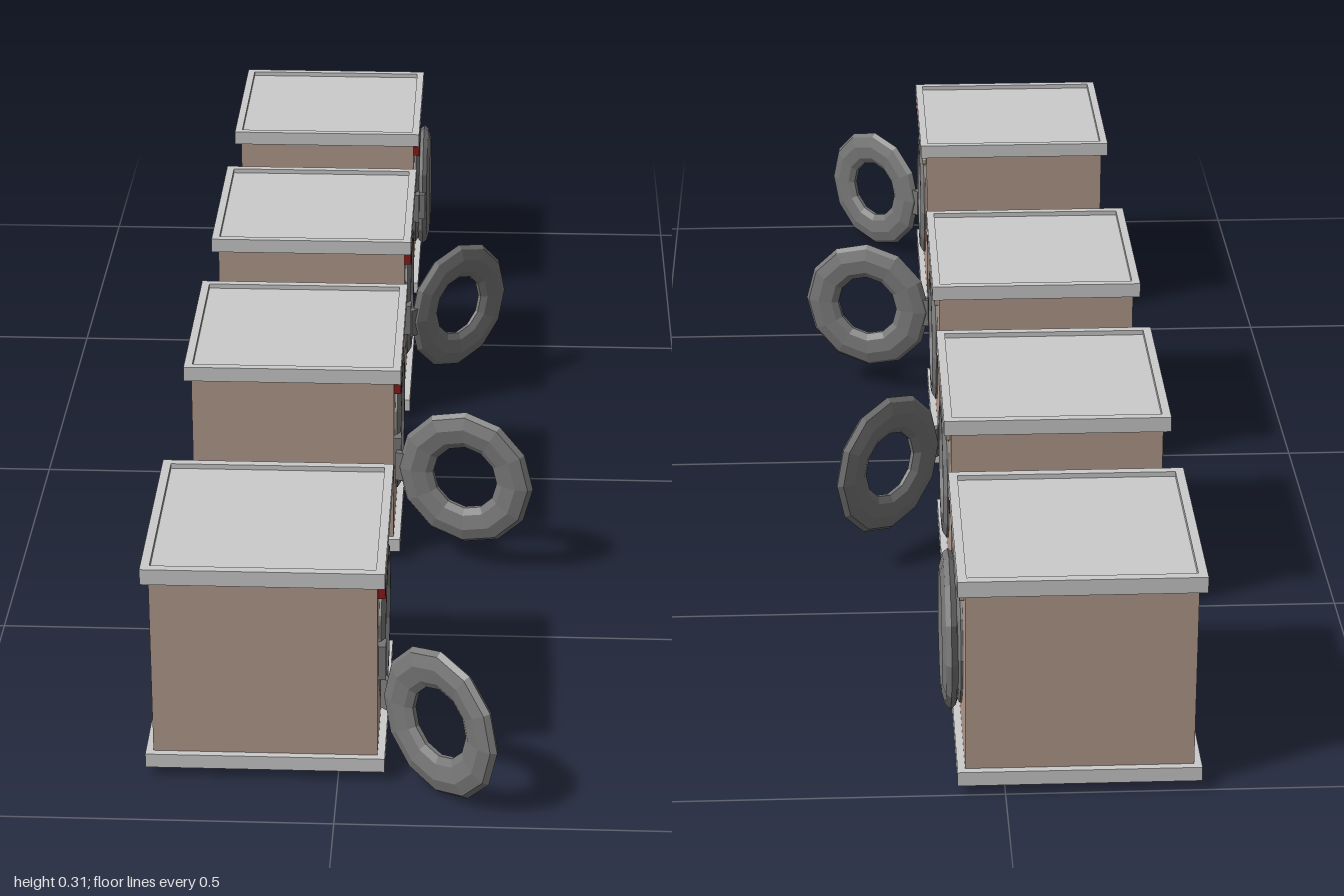
import * as THREE from 'three';

const material = (color, side = THREE.FrontSide) =>
  new THREE.MeshStandardMaterial({ color, side, flatShading: true });
const trimMat = material(0xcccccc);
const bodyMat = material(0xb29a8c);
const darkMat = material(0x777777);
const drumMat = material(0x6e6250, THREE.DoubleSide);
const redMat = material(0x8b1a1a);
const creamMat = material(0xd2c4a8);

const RING_Y = 0.165, RING_Z = 0.008; // opening centre relative to a cabinet

function add(parent, name, geometry, mat, x = 0, y = 0, z = 0) {
  const mesh = new THREE.Mesh(geometry, mat);
  mesh.name = name;
  mesh.position.set(x, y, z);
  parent.add(mesh);
  return mesh;
}

// Twelve-sided turned part with its axis along x; points are [radius, depth]
function turned(points) {
  const g = new THREE.LatheGeometry(points.map(([r, d]) => new THREE.Vector2(r, d)), 12);
  return g.rotateZ(-Math.PI / 2);
}

function rectangle(w, h) {
  return new THREE.Shape([[-w, -h], [w, -h], [w, h], [-w, h]]
    .map(([x, y]) => new THREE.Vector2(x / 2, y / 2)));
}

function createCabinet() {
  const cabinet = new THREE.Group();
  cabinet.name = 'cabinet';

  // Front half of the body with a round opening, and a solid back half
  const front = rectangle(0.297, 0.256);
  const hole = [];
  for (let i = 0; i < 12; i++) {
    const a = -i * Math.PI / 6;
    hole.push(new THREE.Vector2(-RING_Z + 0.087 * Math.cos(a), RING_Y - 0.163 + 0.087 * Math.sin(a)));
  }
  front.holes.push(new THREE.Path(hole));
  const frontGeo = new THREE.ExtrudeGeometry(front, { depth: 0.202, bevelEnabled: false });
  add(cabinet, 'bodyFront', frontGeo.rotateY(Math.PI / 2), bodyMat, -0.15, 0.163, 0);
  add(cabinet, 'bodyBack', new THREE.BoxGeometry(0.095, 0.256, 0.297), bodyMat, -0.1975, 0.163, 0);

  // Base, top panel and raised rim round the top
  add(cabinet, 'base', new THREE.BoxGeometry(0.317, 0.02, 0.317), trimMat, -0.0965, 0.025, 0);
  add(cabinet, 'topPanel', new THREE.BoxGeometry(0.317, 0.015, 0.317), trimMat, -0.0965, 0.2975, 0);
  const rim = rectangle(0.317, 0.317);
  rim.holes.push(rectangle(0.293, 0.293));
  const rimGeo = new THREE.ExtrudeGeometry(rim, { depth: 0.007, bevelEnabled: false });
  add(cabinet, 'topRim', rimGeo.rotateX(-Math.PI / 2), trimMat, -0.0965, 0.305, 0);

  // Drum and the collar round its mouth
  add(cabinet, 'drum', turned([[0, -0.19], [0.084, -0.19], [0.084, 0]]), drumMat, 0.052, RING_Y, RING_Z);
  add(cabinet, 'collar', turned([[0.082, -0.01], [0.106, -0.004], [0.106, 0.002],
    [0.096, 0.008], [0.086, 0.008], [0.08, 0.001], [0.082, -0.01]]), darkMat, 0.053, RING_Y, RING_Z);

  // Hinge and controls
  add(cabinet, 'hinge', new THREE.BoxGeometry(0.012, 0.05, 0.022), darkMat, 0.056, 0.16, 0.112);
  add(cabinet, 'powerButton', new THREE.BoxGeometry(0.012, 0.016, 0.016), redMat, 0.056, 0.275, 0.134);
  const knob = turned([[0.0125, -0.004], [0.0125, 0.004], [0, 0.004]]);
  add(cabinet, 'dial', knob, creamMat, 0.054, 0.275, -0.113);
  add(cabinet, 'smallButton', new THREE.BoxGeometry(0.008, 0.012, 0.012), creamMat, 0.053, 0.273, -0.088);
  return cabinet;
}

// Faceted ring door, hung from its edge
function createDoor(angle) {
  const door = new THREE.Group();
  door.name = 'door';
  const ring = turned([[0.05, -0.004], [0.06, -0.01], [0.082, -0.012], [0.1, -0.007],
    [0.106, 0], [0.1, 0.007], [0.082, 0.012], [0.06, 0.008], [0.05, 0.002], [0.05, -0.004]]);
  add(door, 'doorRing', ring, darkMat, 0, 0, -0.106);
  add(door, 'doorHinge', new THREE.BoxGeometry(0.01, 0.045, 0.018), darkMat, 0, 0, -0.006);
  door.rotation.y = -THREE.MathUtils.degToRad(angle);
  return door;
}

export function createModel() {
  const model = new THREE.Group();
  model.name = 'washingMachines';

  // Cabinet z, door hinge [x, y, z] and opening angle
  const machines = [
    { z: 0.736, hinge: [0.06, 0.107, 0.842], angle: 135 },
    { z: 0.118, hinge: [0.058, 0.146, 0.25], angle: 110 },
    { z: -0.365, hinge: [0.062, 0.153, -0.25], angle: 45 },
    { z: -0.842, hinge: [0.067, 0.159, -0.734], angle: 0 },
  ];
  for (const { z, hinge, angle } of machines) {
    const machine = new THREE.Group();
    machine.name = 'washingMachine';
    const cabinet = createCabinet();
    cabinet.position.z = z;
    const door = createDoor(angle);
    door.position.set(...hinge);
    machine.add(cabinet, door);
    model.add(machine);
  }
  return model;
}
